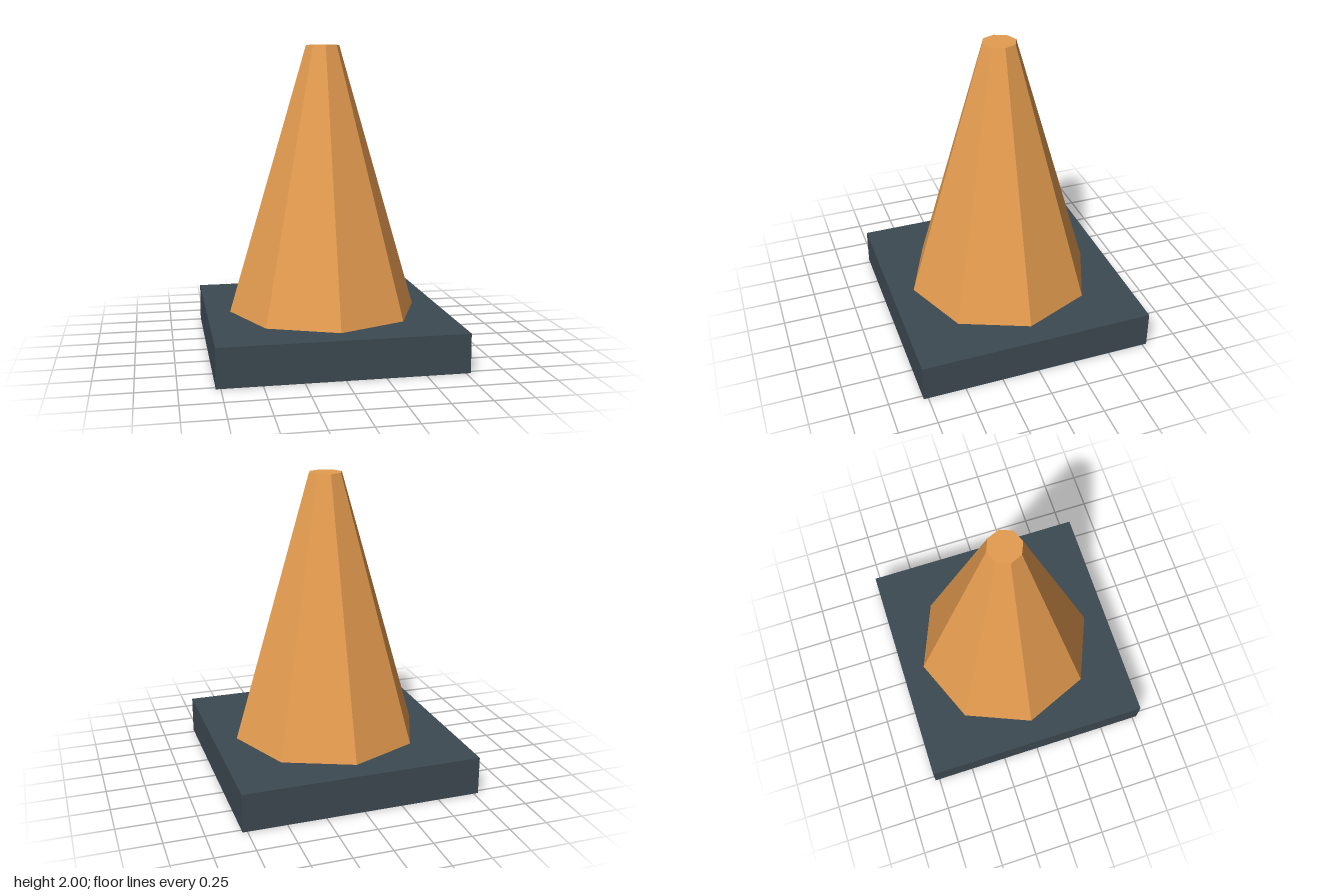
import * as THREE from 'three';

const BASE_SIZE = 1.56;
const BASE_HEIGHT = 0.25;
const TOTAL_HEIGHT = 2;

function addPart(group, name, geometry, color, y) {
  const material = new THREE.MeshStandardMaterial({ color, flatShading: true });
  const mesh = new THREE.Mesh(geometry, material);
  mesh.name = name;
  mesh.position.y = y;
  group.add(mesh);
}

export function createModel() {
  const group = new THREE.Group();
  group.name = 'trafficCone';

  // Square slab the cone stands on
  const base = new THREE.BoxGeometry(BASE_SIZE, BASE_HEIGHT, BASE_SIZE);
  addPart(group, 'base', base, 0x3d4a52, BASE_HEIGHT / 2);

  // Eight-sided tapered body with a flat top, corners on the axes
  const height = TOTAL_HEIGHT - BASE_HEIGHT;
  const cone = new THREE.CylinderGeometry(0.11, 0.625, height, 8);
  addPart(group, 'cone', cone, 0xe59c50, BASE_HEIGHT + height / 2);

  return group;
}
